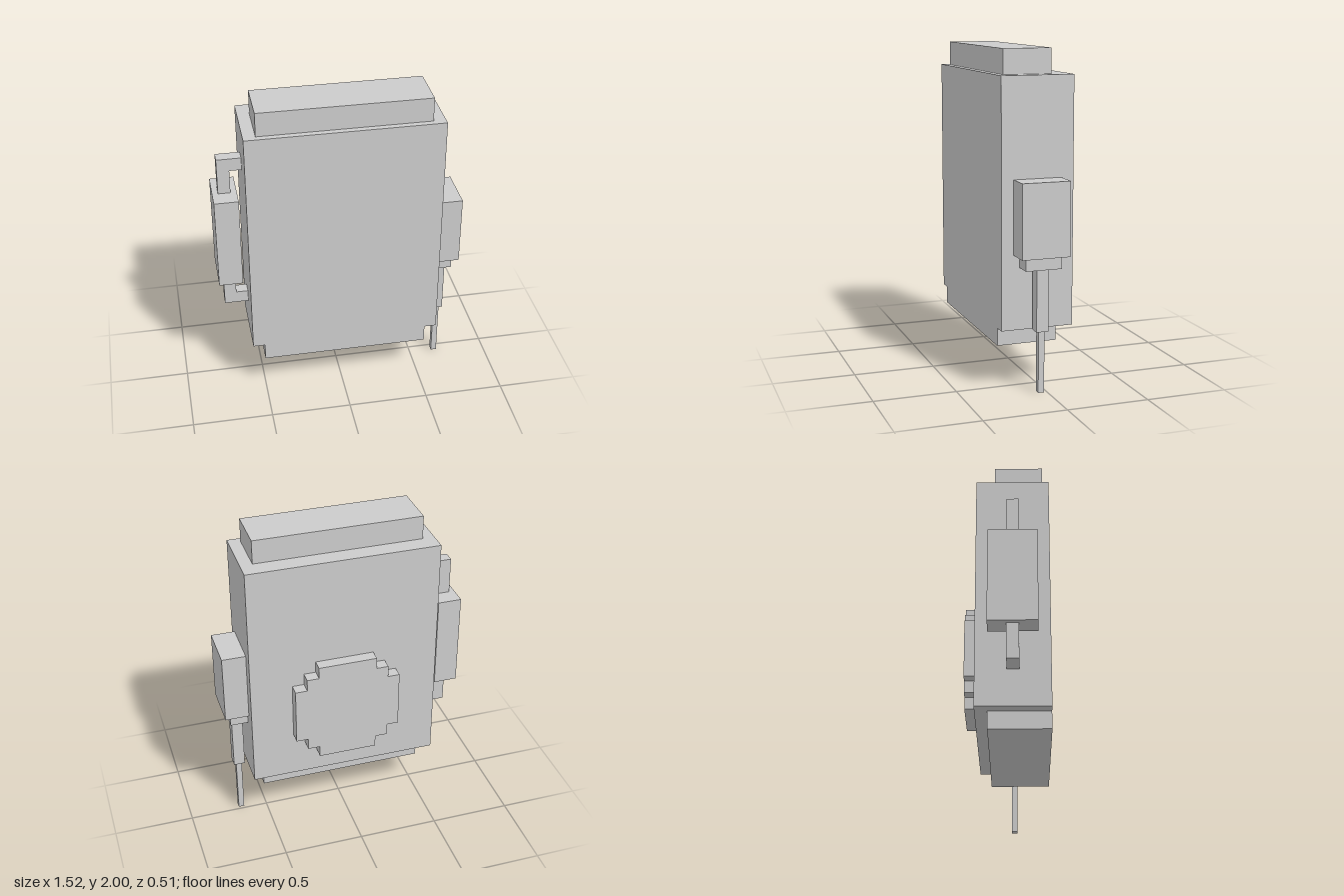
import * as THREE from 'three';

const material = new THREE.MeshStandardMaterial({ color: 0xcccccc, flatShading: true });

// Box given by its [min, max] extents on each axis
function box(name, [x0, x1], [y0, y1], [z0, z1]) {
  const mesh = new THREE.Mesh(new THREE.BoxGeometry(x1 - x0, y1 - y0, z1 - z0), material);
  mesh.position.set((x0 + x1) / 2, (y0 + y1) / 2, (z0 + z1) / 2);
  mesh.name = name;
  return mesh;
}

function group(name, ...parts) {
  const g = new THREE.Group();
  g.name = name;
  g.add(...parts);
  return g;
}

// Stepped, pixel-style disc on the back: one quadrant mirrored around the centre
function backDisc() {
  const a = 0.183, b = 0.258, c = 0.332;
  const quadrant = [[c, a], [b, a], [b, b], [a, b], [a, c]];
  const points = [];
  for (let i = 0; i < 4; i++) {
    for (const [x, y] of quadrant) {
      points.push(new THREE.Vector2(...[[x, y], [-y, x], [-x, -y], [y, -x]][i]));
    }
  }
  const geometry = new THREE.ExtrudeGeometry(new THREE.Shape(points), { depth: 0.073, bevelEnabled: false });
  const mesh = new THREE.Mesh(geometry, material);
  mesh.position.set(0.017, 0.854, -0.258);
  mesh.name = 'backDisc';
  return mesh;
}

export function createModel() {
  // Main case with its stepped top and bottom
  const body = group('body',
    box('case', [-0.577, 0.61], [0.373, 1.852], [-0.185, 0.257]),
    box('topCap', [-0.503, 0.535], [1.852, 2], [-0.073, 0.22]),
    box('bottomBase', [-0.503, 0.535], [0.265, 0.373], [-0.11, 0.257]));

  // Side handle: bracket and thick grip
  const barZ = [0, 0.073];
  const handle = group('handle',
    box('grip', [-0.76, -0.613], [0.82, 1.41], [-0.11, 0.183]),
    box('upperPost', [-0.725, -0.65], [1.41, 1.64], barZ),
    box('lowerPost', [-0.725, -0.65], [0.6, 0.82], barZ),
    box('upperArm', [-0.65, -0.577], [1.56, 1.64], barZ),
    box('lowerArm', [-0.65, -0.577], [0.6, 0.677], barZ));

  // Side unit tapering down to a thin needle
  const injector = group('injector',
    box('housing', [0.61, 0.757], [0.82, 1.26], [-0.11, 0.183]),
    box('collar', [0.61, 0.72], [0.745, 0.82], [-0.073, 0.147]),
    box('barrel', [0.63, 0.7], [0.373, 0.745], barZ),
    box('needle', [0.647, 0.683], [0, 0.373], [0.018, 0.055]));

  return group('model', body, backDisc(), handle, injector);
}
